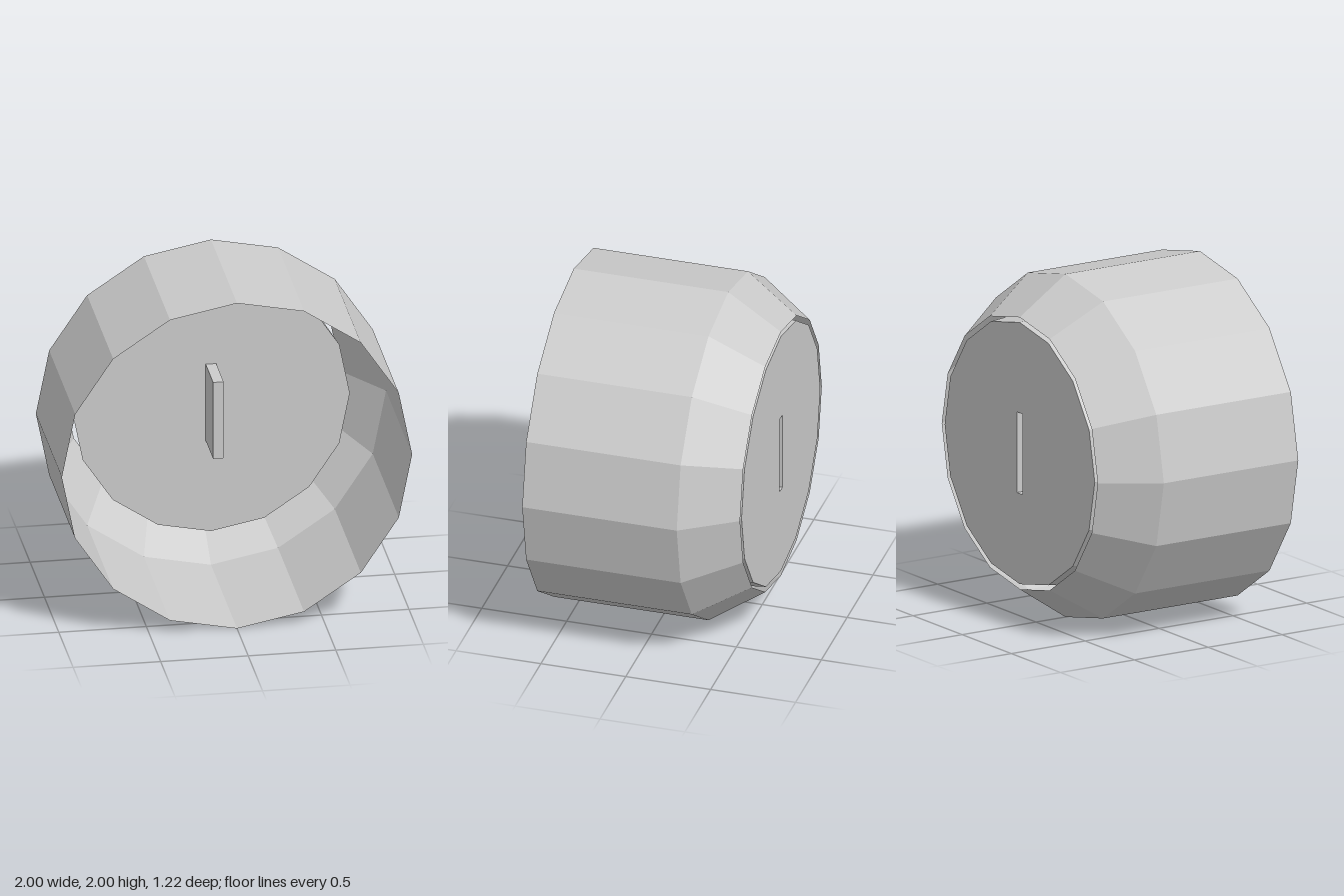
import * as THREE from 'three';

const SIDES = 16;
const BACK = -0.61, FLOOR = -0.3, FRONT = 0.61;
const SLOT_W = 0.03, SLOT_H = 0.235; // half sizes of the key slot

const material = new THREE.MeshStandardMaterial({
  color: 0xcccccc, flatShading: true, side: THREE.DoubleSide,
});

// Ring of corners around the z axis, with a corner at the top
function ring(radius, PathType) {
  const points = [];
  for (let i = 0; i < SIDES; i++) {
    const a = (i / SIDES) * Math.PI * 2;
    points.push(new THREE.Vector2(Math.sin(a) * radius, Math.cos(a) * radius));
  }
  return new PathType(points);
}

// Faceted wall swept around the z axis from [radius, z] pairs
function wall(profile) {
  const points = profile.map(([r, z]) => new THREE.Vector2(r, z));
  return new THREE.LatheGeometry(points, SIDES).rotateX(Math.PI / 2);
}

// Flat plate at depth z with an optional hole, facing +z or -z
function plate(radius, hole, z, facesBack = false) {
  const shape = ring(radius, THREE.Shape);
  if (hole) shape.holes.push(hole);
  const geometry = new THREE.ShapeGeometry(shape);
  if (facesBack) geometry.rotateY(Math.PI);
  return geometry.translate(0, 0, z);
}

function slotHole() {
  return new THREE.Path([
    new THREE.Vector2(-SLOT_W, -SLOT_H), new THREE.Vector2(-SLOT_W, SLOT_H),
    new THREE.Vector2(SLOT_W, SLOT_H), new THREE.Vector2(SLOT_W, -SLOT_H),
  ]);
}

export function createModel() {
  const model = new THREE.Group();
  model.name = 'slottedCap';

  const add = (name, geometry) => {
    const mesh = new THREE.Mesh(geometry, material);
    mesh.name = name;
    mesh.position.y = 1;
    model.add(mesh);
  };

  // Thin outer shell, open at the front and tapered at the back
  add('outerShell', wall([[0.793, BACK], [1, FLOOR], [1, FRONT]]));

  // Plug filling the tapered end, leaving a narrow gap inside the back rim
  add('plugSide', wall([[0.763, BACK], [0.793, FLOOR]]));
  add('plugBack', plate(0.763, slotHole(), BACK, true));
  add('plugFloor', plate(0.793, ring(0.39, THREE.Path), FLOOR));

  // Round centre set flush into the floor
  add('centreDisc', plate(0.39, slotHole(), FLOOR));

  // Hollow key pocket: a thin box standing on the floor, open at the back
  const tip = -0.04;
  const pocket = new THREE.BoxGeometry(SLOT_W * 2, SLOT_H * 2, tip - BACK);
  pocket.setIndex(Array.from(pocket.index.array).slice(0, 30)); // drop the back face
  pocket.translate(0, 0, (tip + BACK) / 2);
  add('keyPocket', pocket);

  return model;
}
